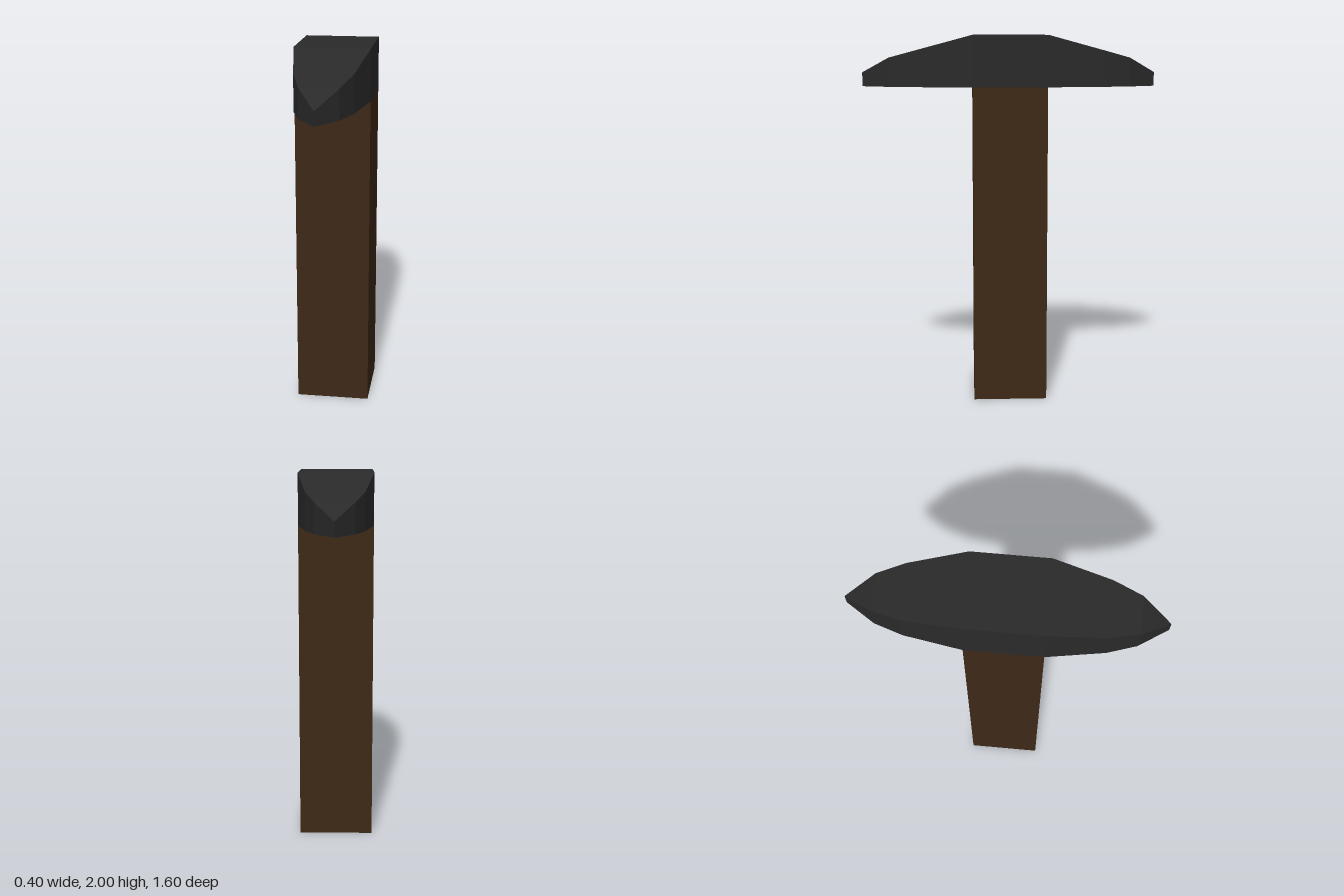
import * as THREE from 'three';

const BASE = 1.725; // underside of the head

// Stations along the head: [z, half width, top height]
const HALF = [[0.2, 0.2, 2], [0.5, 0.15, 1.92], [0.65, 0.1, 1.88], [0.8, 0, 1.8]];
const STATIONS = [...HALF.map(([z, w, y]) => [-z, w, y]).reverse(), ...HALF];

// A box divided along z, each slice fitted to its station
function headGeometry() {
  const n = STATIONS.length - 1;
  const box = new THREE.BoxGeometry(2, 1, n, 1, 1, n);
  const pos = box.attributes.position;
  for (let i = 0; i < pos.count; i++) {
    const [z, w, top] = STATIONS[Math.round(pos.getZ(i) + n / 2)];
    pos.setXYZ(i, pos.getX(i) * w, pos.getY(i) > 0 ? top : BASE, z);
  }
  // The tips close to an edge, so the two end faces are left out
  box.setIndex(Array.from(box.index.array).slice(0, -12));
  box.clearGroups();
  const geometry = box.toNonIndexed();
  geometry.computeVertexNormals();
  return geometry;
}

export function createModel() {
  const model = new THREE.Group();
  const wood = new THREE.MeshStandardMaterial({ color: 0x3d2817, flatShading: true });
  const iron = new THREE.MeshStandardMaterial({ color: 0x2a2a2a, flatShading: true });

  // Square wooden handle
  const handle = new THREE.Mesh(new THREE.BoxGeometry(0.4, BASE, 0.4), wood);
  handle.name = 'handle';
  handle.position.y = BASE / 2;

  // Double-pointed head
  const head = new THREE.Mesh(headGeometry(), iron);
  head.name = 'head';

  model.add(handle, head);
  return model;
}
